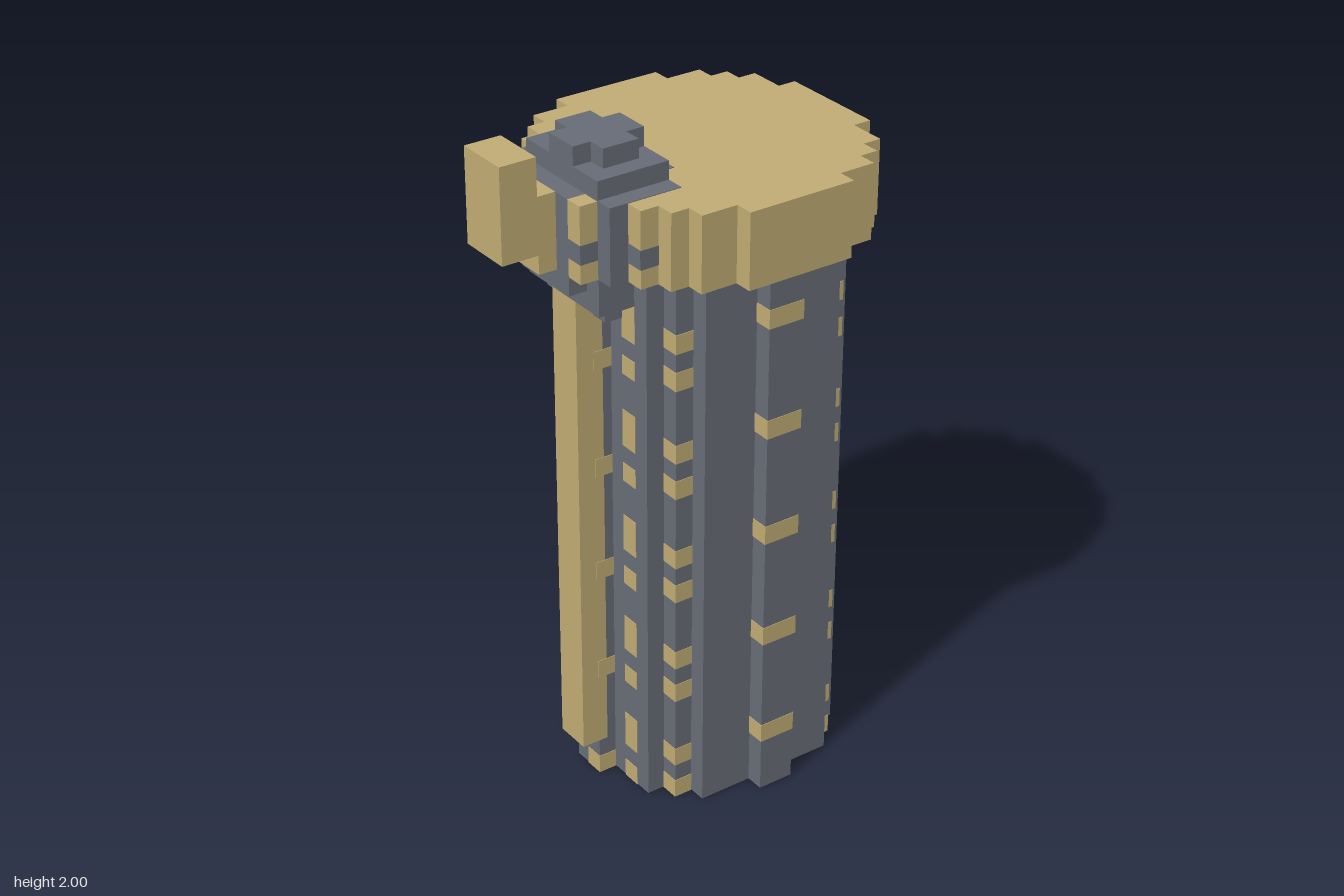
import * as THREE from 'three';

const tan = new THREE.MeshStandardMaterial({ color: 0xc1ac74 });
tan.name = 'tan';
const slate = new THREE.MeshStandardMaterial({ color: 0x686c76 });
slate.name = 'slate grey';

// All sizes below are in blocks; 18 blocks make one unit.
const BLOCK = 1 / 18, AXIS_Z = -2, SKIN = 0.03;

export function createModel() {
  const model = new THREE.Group();
  model.name = 'blockTower';

  function add(name, geometry, material) {
    const mesh = new THREE.Mesh(geometry, material);
    mesh.name = name;
    model.add(mesh);
    return mesh;
  }

  // Box from its two corners
  function box(name, material, x0, x1, y0, y1, z0, z1) {
    const mesh = add(name, new THREE.BoxGeometry(x1 - x0, y1 - y0, z1 - z0), material);
    mesh.position.set((x0 + x1) / 2, (y0 + y1) / 2, (z0 + z1) / 2);
  }

  // Thin painted plates, one block in size, facing z or x
  const plateZ = (name, mat, x, y, z) => box(name, mat, x, x + 1, y, y + 1, z - SKIN, z + SKIN);
  const plateX = (name, mat, x, y, z) => box(name, mat, x - SKIN, x + SKIN, y, y + 1, z, z + 1);

  // Stepped round column; the quarter outline is mirrored to all four sides
  function steppedColumn(name, material, quarter, y0, y1) {
    const back = [...quarter].reverse();
    const points = [
      ...quarter,
      ...back.map(([x, d]) => [-x, d]),
      ...quarter.map(([x, d]) => [-x, -d]),
      ...back.map(([x, d]) => [x, -d]),
    ].map(([x, d]) => new THREE.Vector2(x, d));
    const geometry = new THREE.ExtrudeGeometry(new THREE.Shape(points), { depth: y1 - y0, bevelEnabled: false });
    geometry.rotateX(-Math.PI / 2).translate(0, y0, AXIS_Z);
    add(name, geometry, material);
  }

  // Trunk with a narrow rib on each side, and the wider cap
  steppedColumn('trunk', slate,
    [[7, 1], [6, 1], [6, 4], [5, 4], [5, 5], [4, 5], [4, 6], [1, 6], [1, 7]], 0, 30);
  steppedColumn('cap', tan,
    [[8, 3], [7, 3], [7, 5], [6, 5], [6, 6], [5, 6], [5, 7], [3, 7], [3, 8]], 30, 34);

  // Tan bars running through the trunk, showing as spots where they reach
  // its surface: x, half length, then [offset, height] within each level
  const bars = [
    [-6, 4, [[3, 1]]],
    [-4, 6, [[0, 1], [2, 1]]],
    [-2, 6, [[0, 1], [3, 1]]],
    [0, 7, [[0, 1]]],
    [2, 6, [[0, 1], [2, 2]]],
    [4, 5, [[0, 1], [2, 1]]],
    [6, 1, [[3, 1]]],
  ];
  for (let level = 0; level < 30; level += 6) {
    for (const [x, half, rows] of bars) {
      for (const [offset, height] of rows) {
        const y = level + offset;
        box('bar', tan, x - SKIN, x + 1 + SKIN, y - SKIN, y + height,
          AXIS_Z - half - SKIN, AXIS_Z + half + SKIN);
      }
    }
  }

  // Long strip down the front
  box('frontStrip', tan, -1, 1, 2, 28, 4.5, 6);

  // Housing set into the front of the cap
  box('housing', slate, -4, 4, 30, 34.03, 2, 6.02);
  box('housingBackTab', slate, -1, 2, 33.9, 34.03, 1, 2);
  box('housingFront', slate, -3, 2, 30, 34, 6, 7);
  box('housingLower', slate, -2, 2, 29, 30, 4, 7);
  box('housingFoot', slate, -3, 3, 28, 29.98, 4, 6);
  for (const x of [-3, 1]) box('housingToe', slate, x, x + 1, 27, 28, 4, 5);
  box('postTop', tan, 2, 3, 32, 34, 6, 7);
  box('postMiddle', slate, 2, 3, 31, 32, 6, 7);
  box('postBottom', tan, 2, 3, 30, 31, 6, 7);

  // Marks on the cap and housing beside the lever
  for (const side of [-1, 1]) {
    plateZ('capMark', slate, side > 0 ? 4 : -5, 31, 5);
    plateX('capMark', slate, side * 5, 31, 4);
  }
  for (const y of [30, 32]) plateZ('housingMark', tan, -4, y, 6.02);

  // Stepped button on top
  box('buttonBase', slate, -3, 3, 34, 35, 2, 6);
  box('buttonWide', slate, -2, 2, 35, 36, 3, 5);
  box('buttonLong', slate, -1, 1, 35, 36, 2, 6);

  // Hooked lever at the front
  box('leverArm', tan, -2, 1, 30, 34, 6, 8);
  box('leverHook', tan, -2, 1, 31, 36, 8, 10);

  model.scale.setScalar(BLOCK);
  return model;
}
